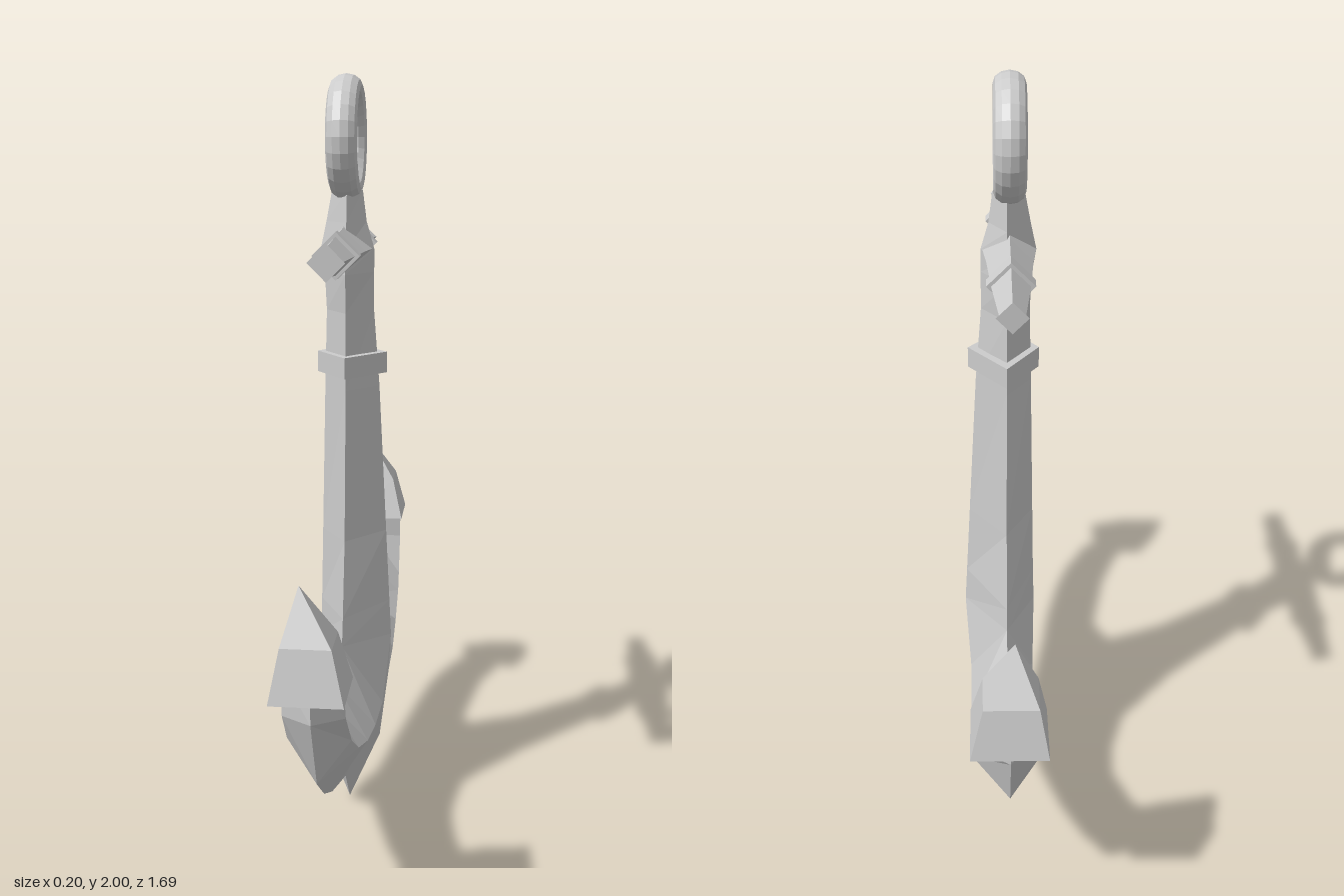
import * as THREE from 'three';

const material = new THREE.MeshStandardMaterial({ color: 0xcccccc, flatShading: true });
const CX = -0.015; // x of the front and back edges

// Collects triangles, turning each one to face away from an inside point
function addTri(out, inside, a, b, c) {
  const [p, q, r, m] = [a, b, c, inside].map((v) => new THREE.Vector3(...v));
  const n = q.clone().sub(p).cross(r.clone().sub(p));
  const outward = n.dot(p.clone().add(q).add(r).divideScalar(3).sub(m)) >= 0;
  out.push(...a, ...(outward ? b : c), ...(outward ? c : b));
}

function toMesh(name, out) {
  const g = new THREE.BufferGeometry();
  g.setAttribute('position', new THREE.Float32BufferAttribute(out, 3));
  g.computeVertexNormals();
  const mesh = new THREE.Mesh(g, material);
  mesh.name = name;
  return mesh;
}

const centre = (pts) => [0, 1, 2].map((k) => pts.reduce((s, p) => s + p[k], 0) / pts.length);

// Skins a row of four-cornered sections and caps both ends
function loft(name, rings) {
  const out = [];
  for (let i = 0; i < rings.length - 1; i++) {
    const [a, b] = [rings[i], rings[i + 1]];
    const inside = centre([...a, ...b]);
    for (let j = 0; j < 4; j++) {
      const k = (j + 1) % 4;
      addTri(out, inside, a[j], a[k], b[k]);
      addTri(out, inside, a[j], b[k], b[j]);
    }
    for (const [end, cap] of [[i === 0, a], [i === rings.length - 2, b]]) {
      if (!end) continue;
      addTri(out, inside, cap[0], cap[1], cap[2]);
      addTri(out, inside, cap[0], cap[2], cap[3]);
    }
  }
  return toMesh(name, out);
}

// Upright diamond section: side ridges at xl and xr, edges at zp and zn
const upright = ([y, xl, xr, zp, zn, edgeY = y]) =>
  [[xr, y, 0], [CX, edgeY, zp], [xl, y, 0], [CX, edgeY, zn]];

// Diamond section across the stock
const across = (z, r) => [[-0.022 + r, 1.56, z], [-0.022, 1.56 + r, z], [-0.022 - r, 1.56, z], [-0.022, 1.56 - r, z]];

// Arm sections: upper edge z, y; side ridge z, y; lower edge z, y
const frontArm = [
  [0.19, 0.53, 0.09, 0.335, 0.11, 0.12], [0.3, 0.47, 0.24, 0.335, 0.24, 0.165],
  [0.43, 0.475, 0.39, 0.36, 0.41, 0.225], [0.56, 0.525, 0.56, 0.42, 0.57, 0.3],
  [0.65, 0.58, 0.66, 0.485, 0.7, 0.39], [0.665, 0.63, 0.73, 0.57, 0.8, 0.58],
  [0.68, 0.68, 0.74, 0.68, 0.8, 0.68],
];
const backArm = [
  [0.22, 0.545, 0.11, 0.345, 0.12, 0.12], [0.32, 0.485, 0.3, 0.345, 0.27, 0.165],
  [0.42, 0.465, 0.45, 0.38, 0.43, 0.23], [0.56, 0.53, 0.58, 0.43, 0.58, 0.31],
  [0.66, 0.59, 0.64, 0.47, 0.71, 0.4], [0.68, 0.64, 0.72, 0.57, 0.79, 0.58],
  [0.7, 0.68, 0.76, 0.68, 0.8, 0.68],
];
const armRings = (rows, s, xrEnd) => rows.map(([uz, uy, rz, ry, lz, ly], i) => {
  const xr = THREE.MathUtils.lerp(0.085, xrEnd, i / (rows.length - 1));
  return [[CX, uy, s * uz], [xr, ry, s * rz], [CX, ly, s * lz], [-0.09, ry, s * rz]];
});

export function createModel() {
  const group = new THREE.Group();

  // Shank, widening towards the crown
  group.add(loft('shank', [
    [1.71, -0.06, 0.02, 0.06, -0.06], [1.63, -0.075, 0.03, 0.075, -0.075],
    [1.56, -0.09, 0.05, 0.09, -0.09], [1.5, -0.08, 0.05, 0.105, -0.1],
    [1.4, -0.075, 0.05, 0.09, -0.09], [1.2, -0.08, 0.065, 0.095, -0.1],
    [0.8, -0.088, 0.085, 0.125, -0.14], [0.6, -0.092, 0.095, 0.17, -0.2],
    [0.5, -0.095, 0.1, 0.19, -0.22, 0.53],
  ].map(upright)));
  group.add(loft('shankBand', [1.235, 1.29].map((y) => upright([y, -0.1, 0.085, 0.125, -0.133]))));

  // Arms
  const front = armRings(frontArm, 1, 0.05);
  const back = armRings(backArm, -1, 0.07);
  group.add(loft('frontArm', front), loft('backArm', back));

  // Crown joining shank and arms, with a flat lozenge on each side
  const out = [];
  const inside = [-0.005, 0.35, 0];
  const keel = [CX, 0.005, 0];
  for (const [side, topX, bottomX] of [[1, 0.1, 0.07], [3, -0.095, -0.09]]) {
    const top = [topX, 0.5, 0];
    const bottom = [bottomX, 0.2, 0];
    for (const arm of [front, back]) {
      const [upper, lower, ridge] = [arm[0][0], arm[0][2], arm[0][side]];
      addTri(out, inside, top, ridge, upper);
      addTri(out, inside, top, bottom, ridge);
      addTri(out, inside, ridge, bottom, keel);
      addTri(out, inside, ridge, keel, lower);
    }
  }
  group.add(toMesh('crown', out));

  // Arrow-shaped heads: square base, slightly bulged middle, sharp tip
  const square = (x0, x1, y, z0, z1) => [[x0, y, z0], [x1, y, z0], [x1, y, z1], [x0, y, z1]];
  for (const [name, s, x1, tipX, tipZ] of [['frontHead', 1, 0.065, -0.045, 0.755], ['backHead', -1, 0.08, -0.025, 0.735]]) {
    group.add(loft(name, [
      square(-0.08, x1 - 0.02, 0.665, s * 0.69, s * 0.81),
      square(-0.103, x1, 0.643, s * 0.665, s * 0.847),
      square(-0.08, x1 - 0.03, 0.765, s * 0.7, s * 0.818),
      square(tipX, tipX + 0.001, 0.888, s * tipZ, s * (tipZ + 0.001)),
    ]));
  }

  // Stock with flared ends and two bands
  group.add(loft('stock', [
    [-0.437, 0.038], [-0.425, 0.03], [-0.25, 0.047], [-0.09, 0.058], [0, 0.068],
    [0.09, 0.058], [0.25, 0.047], [0.425, 0.035], [0.437, 0.045],
  ].map(([z, r]) => across(z, r))));
  for (const s of [1, -1]) {
    group.add(loft('stockBand', [0.205, 0.25].map((z) => across(s * z, 0.059))));
  }

  // Ring through the top
  const ring = new THREE.Mesh(new THREE.TorusGeometry(0.129, 0.029, 12, 24), material);
  ring.name = 'ring';
  ring.rotation.y = Math.PI / 2;
  ring.scale.z = 1.38;
  ring.position.set(-0.022, 1.842, 0);
  group.add(ring);

  return group;
}
